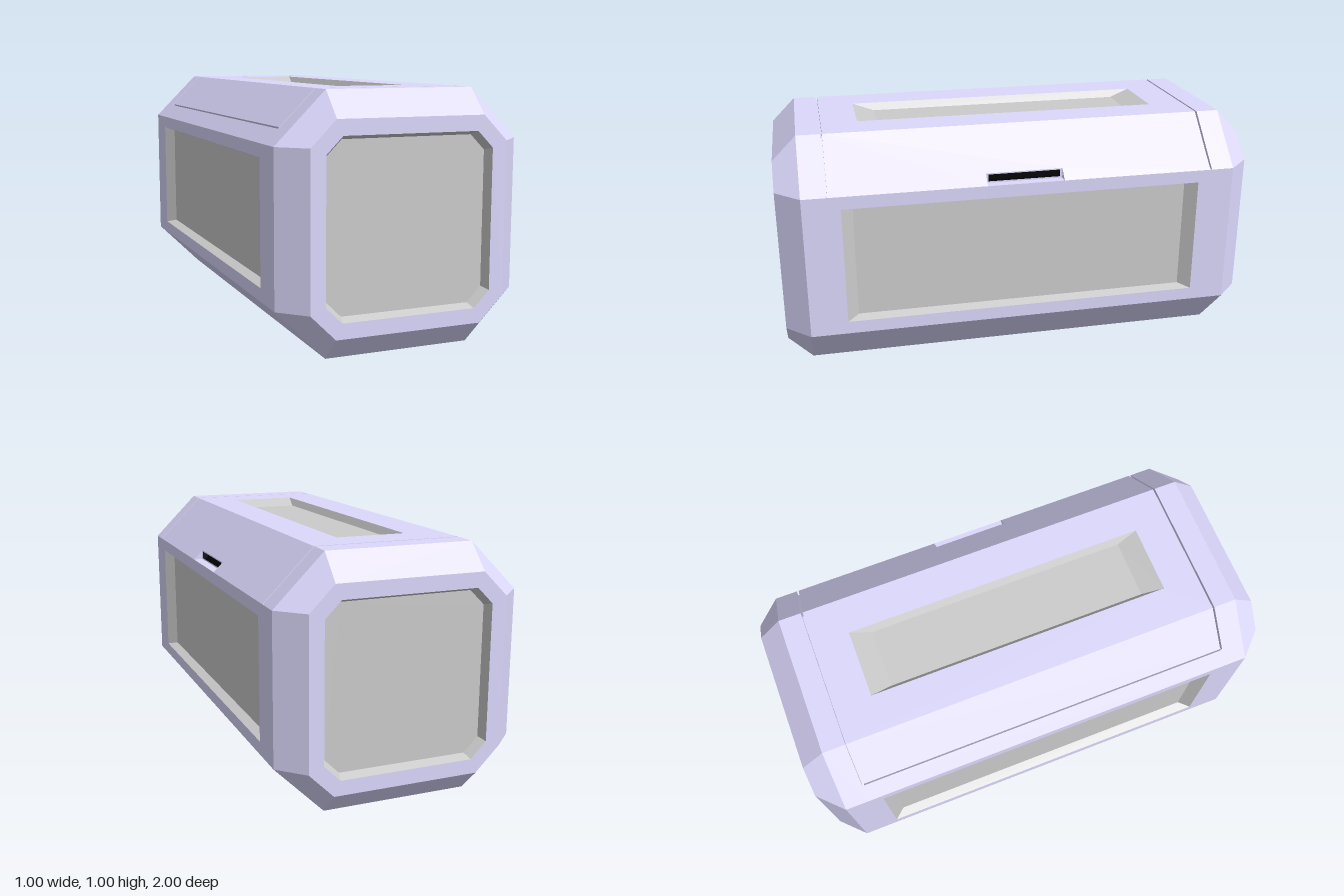
import * as THREE from 'three';
import { mergeGeometries } from 'three/addons/utils/BufferGeometryUtils.js';

const V = (x, y, z) => new THREE.Vector3(x, y, z);

// Flat polygon in space (counter-clockwise from outside, first corner convex), with optional holes
function panel(pts, holes = []) {
  const u = pts[1].clone().sub(pts[0]).normalize();
  const n = u.clone().cross(pts[2].clone().sub(pts[1])).normalize();
  const frame = new THREE.Matrix4().makeBasis(u, n.clone().cross(u), n).setPosition(pts[0]);
  const inverse = frame.clone().invert();
  const flat = list => list.map(p => {
    const q = p.clone().applyMatrix4(inverse);
    return new THREE.Vector2(q.x, q.y);
  });
  const shape = new THREE.Shape(flat(pts));
  shape.holes = holes.map(h => new THREE.Path(flat(h)));
  return new THREE.ShapeGeometry(shape).applyMatrix4(frame);
}

// Sloping walls from an opening down to a sunken floor
function recess(open, floor) {
  const walls = open.map((p, i) => {
    const j = (i + 1) % open.length;
    return panel([p, open[j], floor[j], floor[i]]);
  });
  return [panel(floor), ...walls];
}

export function createModel() {
  const group = new THREE.Group();
  const shellMat = new THREE.MeshStandardMaterial({ color: 0xdcd8fd });
  const seamMat = new THREE.MeshStandardMaterial({ color: 0xdcd8fd, side: THREE.DoubleSide });
  const greyMat = new THREE.MeshStandardMaterial({ color: 0xcccccc });
  const darkMat = new THREE.MeshStandardMaterial({ color: 0x000000 });
  const add = (name, geometries, material) => {
    const mesh = new THREE.Mesh(mergeGeometries(geometries), material);
    mesh.name = name;
    group.add(mesh);
  };

  // Octagonal sections: full body and the smaller end face
  const octagon = (a, lo) => [[.3, lo], [a, .2], [a, .8], [.3, 1 - lo],
    [-.3, 1 - lo], [-a, .8], [-a, .2], [-.3, lo]];
  const big = octagon(.5, 0), small = octagon(.4, .1);
  const strip = (a, b, z0, z1) => [V(...a, z0), V(...b, z0), V(...b, z1), V(...a, z1)];
  const edge = i => [big[i], big[(i + 1) % 8]];
  const G = .796, H = .804; // inner and outer sides of the lid seam

  // Plain lower faces and the fixed rims beside the lid
  const body = [0, 6, 7].map(i => panel(strip(...edge(i), -.9, .9)));
  for (const i of [2, 3, 4]) {
    body.push(panel(strip(...edge(i), H, .9)), panel(strip(...edge(i), -.9, -H)));
  }
  body.push(panel(strip([-.445, .855], [-.5, .8], -H, H)));

  // Ends and long sides, each repeated by a half turn
  for (const s of [1, -1]) {
    const turn = list => list.map(p => V(s * p.x, p.y, s * p.z));
    for (let i = 0; i < 8; i++) {
      const j = (i + 1) % 8;
      body.push(panel(turn([V(...big[i], .9), V(...big[j], .9), V(...small[j], 1), V(...small[i], 1)])));
    }
    const endRing = (a, c, z) => turn([[c, -a], [a, -c], [a, c], [c, a],
      [-c, a], [-a, c], [-a, -c], [-c, -a]].map(([x, y]) => V(x, .5 + y, z)));
    const endOpen = endRing(.34, .275, 1);
    body.push(panel(turn(small.map(p => V(...p, 1))), [endOpen]));
    add(s > 0 ? 'frontPanel' : 'backPanel', recess(endOpen, endRing(.325, .265, .962)), greyMat);

    const sideRing = (h, l, x) => turn(strip([x, .5 - h], [x, .5 + h], -l, l));
    const sideOpen = sideRing(.247, .747, .5);
    body.push(panel(turn(strip(...edge(1), -.9, .9)), [sideOpen]));
    add(s > 0 ? 'leftSidePanel' : 'rightSidePanel', recess(sideOpen, sideRing(.233, .7, .462)), greyMat);
  }
  add('body', body, shellMat);

  // Lid: top, back slope, and front slope with a cut for the latch
  const topRing = (w, l, y) => strip([w, y], [-w, y], -l, l);
  const topOpen = topRing(.145, .645, 1);
  add('lid', [
    panel(strip(...edge(3), -G, G), [topOpen]),
    panel(strip([-.3, 1], [-.44, .86], -G, G)),
    panel([V(.5, .8, -G), V(.3, 1, -G), V(.3, 1, G), V(.5, .8, G),
      V(.5, .8, .16), V(.46, .84, .16), V(.46, .84, -.16), V(.5, .8, -.16)]),
  ], shellMat);
  add('topPanel', recess(topOpen, topRing(.125, .555, .97)), greyMat);

  // Latch notch with a dark slot in its back wall
  const slot = x => strip([x, .806], [x, .835], -.15, .15);
  add('latchNotch', [
    panel(strip([.46, .8], [.46, .84], -.16, .16), [slot(.46)]),
    panel([V(.46, .8, .16), V(.5, .8, .16), V(.5, .8, -.16), V(.46, .8, -.16)]),
    panel([V(.46, .8, -.16), V(.5, .8, -.16), V(.46, .84, -.16)]),
    panel([V(.5, .8, .16), V(.46, .8, .16), V(.46, .84, .16)]),
  ], shellMat);
  add('latchSlot', recess(slot(.46), slot(.44)), darkMat);

  // Narrow grooves around the lid
  const outer = [[.5, .8], [.3, 1], [-.3, 1], [-.445, .855]];
  const inner = [[.48, .8], [.292, .98], [-.292, .98], [-.431, .841]];
  const seam = [];
  for (const s of [1, -1]) {
    for (let i = 0; i < 3; i++) {
      seam.push(panel(strip(inner[i], inner[i + 1], s * G, s * H)));
      for (const z of [s * G, s * H]) {
        seam.push(panel([V(...outer[i], z), V(...outer[i + 1], z), V(...inner[i + 1], z), V(...inner[i], z)]));
      }
    }
  }
  const groove = [[-.44, .86], [-.426, .846], [-.431, .841], [-.445, .855]];
  for (let i = 0; i < 3; i++) seam.push(panel(strip(groove[i], groove[i + 1], -G, G)));
  add('lidSeam', seam, seamMat);

  return group;
}
